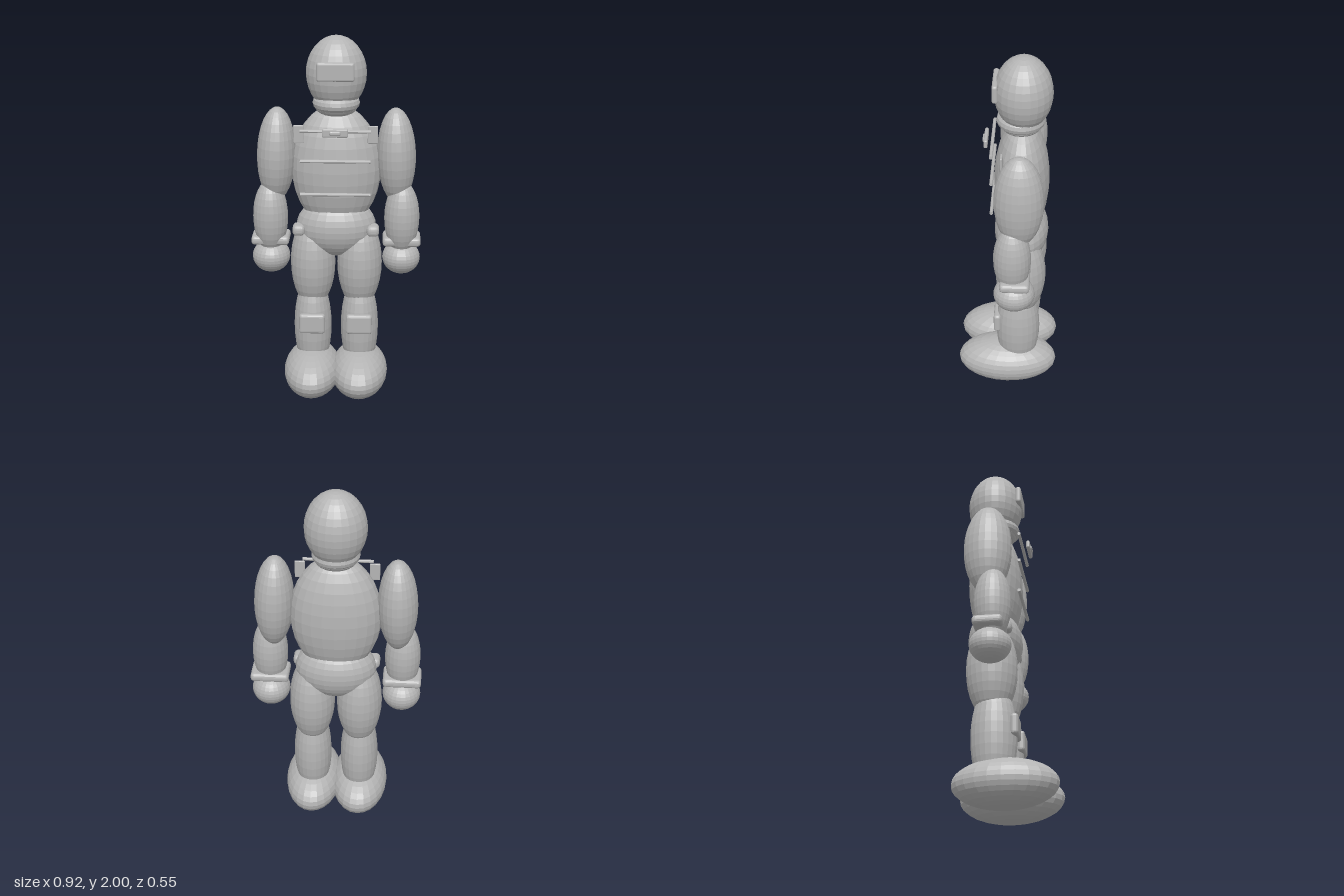
import * as THREE from 'three';
import { RoundedBoxGeometry } from 'three/addons/geometries/RoundedBoxGeometry.js';

export function createModel() {
  const model = new THREE.Group();
  model.name = 'armouredFigure';
  const grey = new THREE.MeshStandardMaterial({ color: 0xb4b4b4 });
  grey.name = 'plain grey';
  grey.flatShading = true;

  const add = (name, geometry, [x, y, z]) => {
    const mesh = new THREE.Mesh(geometry, grey);
    mesh.name = name;
    mesh.position.set(x, y, z);
    model.add(mesh);
    return mesh;
  };
  // Faceted ellipsoid given by its centre and three radii
  const ellipsoid = (name, centre, radii) =>
    add(name, new THREE.SphereGeometry(1, 24, 16).scale(...radii), centre);
  // Softly rounded box given by its centre and full size
  const box = (name, centre, size) =>
    add(name, new RoundedBoxGeometry(...size, 2, Math.min(...size) * 0.4), centre);

  // Head, visor and neck ring
  ellipsoid('head', [0, 1.802, -0.075], [0.16, 0.198, 0.15]);
  box('visor', [0, 1.835, 0.065], [0.196, 0.098, 0.03]);
  ellipsoid('neck', [0, 1.625, -0.065], [0.112, 0.05, 0.108]);
  add('neckRing', new THREE.TorusGeometry(0.088, 0.037, 12, 28).rotateX(Math.PI / 2), [0, 1.648, -0.063]);

  // Body
  ellipsoid('torso', [0, 1.29, -0.07], [0.24, 0.345, 0.145]);
  ellipsoid('hips', [0, 0.96, -0.07], [0.217, 0.168, 0.145]);

  // Chest rods and buckle
  for (const y of [1.527, 1.365, 1.183]) {
    add('chestRod', new THREE.CylinderGeometry(0.009, 0.009, 0.37, 10).rotateZ(Math.PI / 2), [0, y, 0.081]);
  }
  box('buckle', [0, 1.527, 0.115], [0.135, 0.046, 0.02]);
  box('buckleFace', [0, 1.527, 0.122], [0.06, 0.024, 0.022]);

  // Mirrored limbs and gear
  for (const [s, side] of [[1, 'left'], [-1, 'right']]) {
    const upperArm = ellipsoid(side + 'UpperArm', [s * 0.321, 1.36, -0.067], [0.104, 0.26, 0.128]);
    upperArm.rotation.z = s * 0.03;
    ellipsoid(side + 'Forearm', [s * 0.355, 1.022, -0.035], [0.095, 0.205, 0.098]);
    box(side + 'WristBand', [s * 0.356, 0.895, -0.05], [0.206, 0.05, 0.156]);
    ellipsoid(side + 'Hand', [s * 0.355, 0.791, -0.046], [0.103, 0.09, 0.109]);
    box(side + 'ShoulderStrap', [s * 0.195, 1.497, 0.028], [0.054, 0.096, 0.012]);
    box(side + 'HipPouch', [s * 0.2, 0.96, 0], [0.068, 0.06, 0.09]);

    ellipsoid(side + 'Thigh', [s * 0.128, 0.75, -0.071], [0.123, 0.27, 0.136]);
    ellipsoid(side + 'Shin', [s * 0.13, 0.375, -0.058], [0.104, 0.3, 0.121]);
    box(side + 'KneePad', [s * 0.129, 0.427, 0.054], [0.142, 0.113, 0.04]);
    ellipsoid(side + 'Foot', [s * 0.131, 0.13, 0], [0.157, 0.13, 0.275]);
  }
  return model;
}
